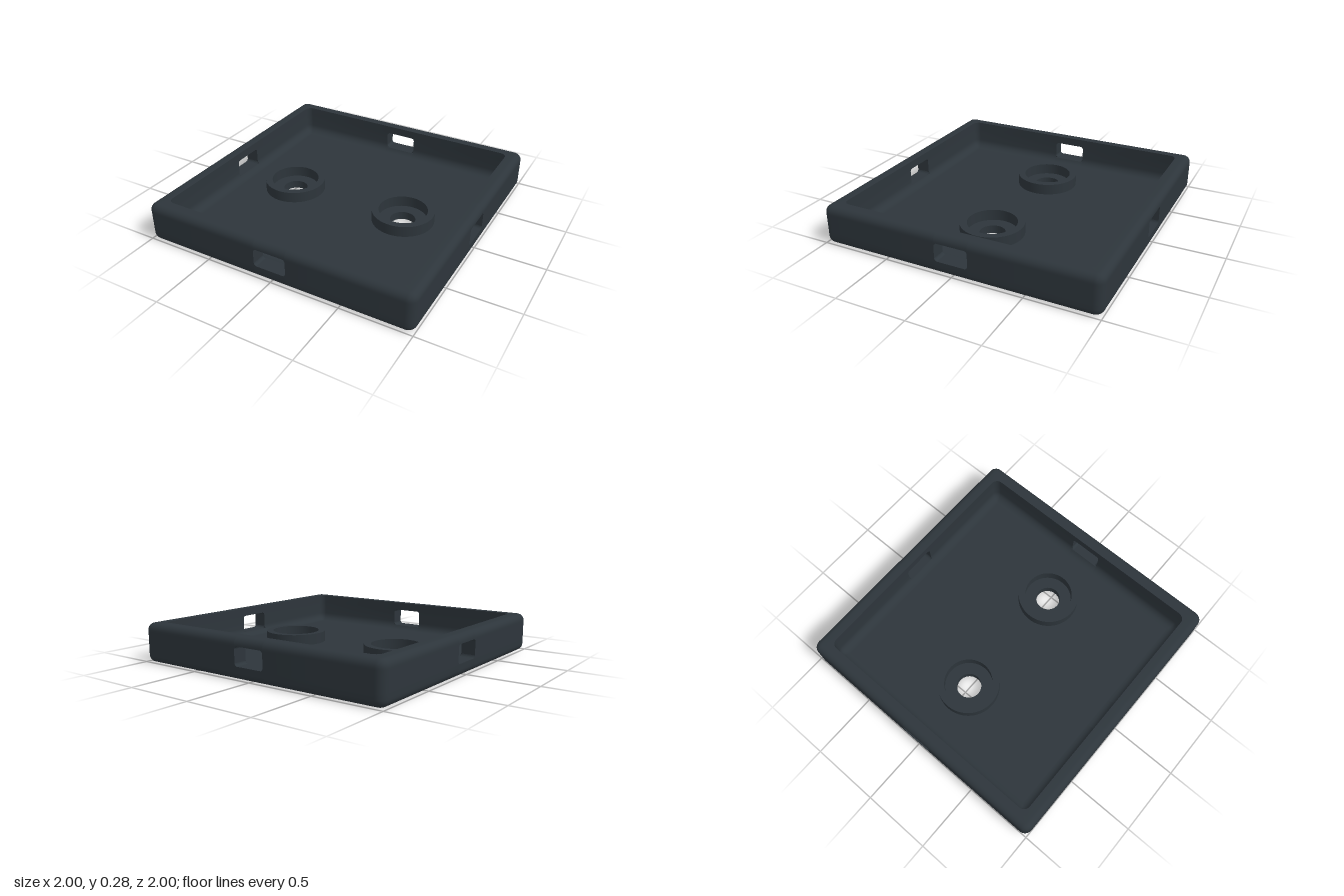
import * as THREE from 'three';
import { toCreasedNormals } from 'three/addons/utils/BufferGeometryUtils.js';

const slate = new THREE.MeshStandardMaterial({ color: 0x2d353b });
slate.name = 'dark slate';

const SLOT = { half: 0.12, low: 0.09, high: 0.22, round: 0.018 };
const FLOOR = 0.06, BOSS_X = 0.455, HOLE = 0.09;

// Points of an arc as [half size, height, corner radius in plan]
function arc(cx, cy, r, from, to, steps, plan) {
  return Array.from({ length: steps + 1 }, (_, i) => {
    const a = THREE.MathUtils.degToRad(from + (to - from) * i / steps);
    const h = cx + r * Math.cos(a);
    return [h, cy + r * Math.sin(a), plan(h)];
  });
}
const outerPlan = h => Math.max(0.006, 0.06 - (1 - h));
const innerPlan = h => Math.max(0.006, 0.05 - (0.9 - h));

// Closed wall cross-sections, counter-clockwise
const bottomEdge = arc(0.95, 0.05, 0.05, -90, 0, 6, outerPlan);
const topEdge = arc(0.95, 0.23, 0.05, 0, 90, 6, outerPlan);
const cove = arc(0.84, 0.12, 0.06, 0, -90, 6, innerPlan);
const underside = [[0.84, 0.03, 0.006], [0.94, 0.03, 0.006]];
const outerLow = [1, SLOT.low, 0.06], outerHigh = [1, SLOT.high, 0.06];
const head = [outerHigh, ...topEdge, [0.9, 0.28, 0.05], [0.9, SLOT.high, 0.05]];
const full = [...bottomEdge, outerLow, ...head, ...cove, ...underside];
const sill = [...bottomEdge, outerLow, ...cove.slice(2), ...underside];

// Columns along the wall: straight past a slot, or round a corner
const straight = [-SLOT.half, SLOT.half].map(t => ([h, y]) => [h, y, t]);
const corner = [([h, y]) => [h, y, SLOT.half]];
for (let i = 0; i <= 8; i++) {
  const a = i / 8 * Math.PI / 2;
  corner.push(([h, y, r]) => [h - r + r * Math.cos(a), y, h - r + r * Math.sin(a)]);
}
corner.push(([h, y]) => [SLOT.half, y, h]);

function sweep(section, columns) {
  const n = section.length, index = [];
  const position = columns.flatMap(place => section.flatMap(p => place(p)));
  for (let c = 0; c < columns.length - 1; c++) {
    for (let i = 0; i < n; i++) {
      const a = c * n + i, b = c * n + (i + 1) % n;
      index.push(a, b, a + n, b, b + n, a + n);
    }
  }
  const last = (columns.length - 1) * n;
  const caps = THREE.ShapeUtils.triangulateShape(section.map(p => new THREE.Vector2(p[0], p[1])), []);
  for (const [a, b, c] of caps) index.push(a, c, b, last + a, last + b, last + c);
  const g = new THREE.BufferGeometry();
  g.setAttribute('position', new THREE.Float32BufferAttribute(position, 3));
  g.setIndex(index);
  return toCreasedNormals(g, 0.6);
}

// Flat plate between two heights, with holes
function plate(half, y0, y1, holes) {
  const s = new THREE.Shape([[-half, -half], [half, -half], [half, half], [-half, half]]
    .map(p => new THREE.Vector2(...p)));
  s.holes = holes;
  const g = new THREE.ExtrudeGeometry(s, { depth: y1 - y0, bevelEnabled: false, curveSegments: 48 });
  g.rotateX(-Math.PI / 2).translate(0, y0, 0);
  return toCreasedNormals(g, 0.6);
}
const circle = x => new THREE.Path().absarc(x, 0, HOLE, 0, Math.PI * 2, true);
const square = (x, y, r) => new THREE.Path([[-r, -r], [-r, r], [r, r], [r, -r]]
  .map(([a, b]) => new THREE.Vector2(x + a, y + b)));

// Concave filler that rounds one corner of a slot
function slotFillet(sx, sy) {
  const r = SLOT.round, x = sx * SLOT.half, y = sy > 0 ? SLOT.high : SLOT.low;
  const s = new THREE.Shape();
  s.moveTo(x, y);
  s.lineTo(x - sx * r, y);
  s.quadraticCurveTo(x - sx * r * 0.2, y - sy * r * 0.2, x, y - sy * r);
  s.closePath();
  const g = new THREE.ExtrudeGeometry(s, { depth: 0.1, bevelEnabled: false, curveSegments: 5 });
  return g.translate(0, 0, 0.9).rotateY(Math.PI / 2);
}

export function createModel() {
  const model = new THREE.Group();
  model.name = 'tray';
  const add = (parent, name, geometry) => {
    const m = new THREE.Mesh(geometry, slate);
    m.name = name;
    parent.add(m);
    return m;
  };

  // Four identical sides: corner, slot sill, slot lintel, rounded slot corners
  const parts = [['wallCorner', sweep(full, corner)], ['slotSill', sweep(sill, straight)],
    ['slotLintel', sweep(head, straight)]];
  for (const sx of [-1, 1]) for (const sy of [-1, 1]) parts.push(['slotCorner', slotFillet(sx, sy)]);
  for (let i = 0; i < 4; i++) {
    const side = new THREE.Group();
    side.name = 'side' + (i + 1);
    side.rotation.y = i * Math.PI / 2;
    for (const [name, g] of parts) add(side, name, g);
    model.add(side);
  }

  // Floor with screw holes, and the base skin with four shallow foot recesses
  const screwHoles = () => [-1, 1].map(s => circle(s * BOSS_X));
  const feet = [-1, 1].flatMap(x => [-1, 1].map(y => square(x * 0.66, y * 0.66, 0.225)));
  add(model, 'floor', plate(0.892, 0.01, FLOOR, screwHoles()));
  add(model, 'baseSkin', plate(0.95, 0, 0.01, [...screwHoles(), ...feet]));

  // Raised rings around the screw holes
  const ring = [[0.225, 0.05], [0.225, 0.14], [0.175, 0.14], [0.175, 0.05]]
    .map(p => new THREE.Vector2(...p));
  const ringGeometry = toCreasedNormals(new THREE.LatheGeometry(ring, 64), 0.6);
  for (const s of [-1, 1]) add(model, s > 0 ? 'leftBoss' : 'rightBoss', ringGeometry).position.x = s * BOSS_X;
  return model;
}
